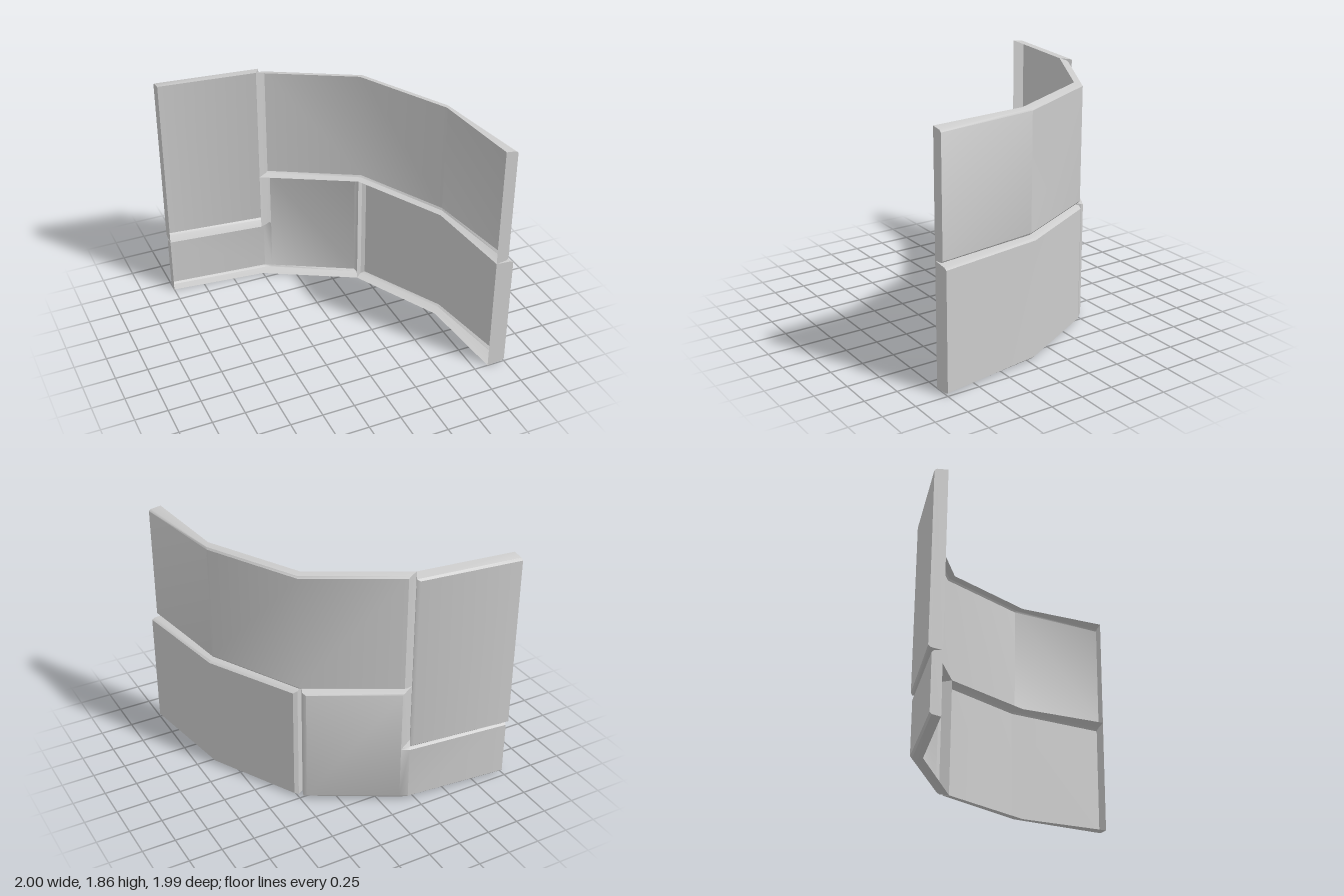
import * as THREE from 'three';
import { toCreasedNormals } from 'three/addons/utils/BufferGeometryUtils.js';

const mat = new THREE.MeshStandardMaterial({ color: 0xcccccc, side: THREE.DoubleSide });

// Heights of the joints between the blocks
const FLOOR = 0, STEP = 0.465, MID = 0.935, TOP = 1.855;

// Corners of the inner line of the wall, as [x, z]
const W0 = [-1, -0.89], W1 = [-0.25, -0.81], W2 = [0.44, -0.43], W3 = [0.8, 0.27], W4 = [0.86, 1];

const mix = (a, b, t) => a.map((v, i) => v + (b[i] - v) * t);

// One hollow block, open on the inside. Each column is
// [inner xz, face xz, bottom y, top y, shoulder xz (only at bevelled ends)].
function block(name, columns) {
  // Rings from the open back, over the shoulder, to the bevelled face
  const ring = (place, inset) => {
    const bottom = columns.map(c => { const [x, z] = place(c); return new THREE.Vector3(x, c[2] + inset, z); });
    const top = columns.map(c => { const [x, z] = place(c); return new THREE.Vector3(x, c[3] - inset, z); });
    return { bottom, top, loop: [...bottom].reverse().concat(top) };
  };
  const rings = [
    ring(c => c[0], 0),
    ring(c => c[4] || mix(c[0], c[1], 0.82), 0.01),
    ring(c => c[1], 0.024),
  ];

  const pos = [];
  const tri = (a, b, c) => {
    if (new THREE.Triangle(a, b, c).getArea() < 1e-8) return;
    for (const p of [a, b, c]) pos.push(p.x, p.y, p.z);
  };
  const quad = (a, b, c, d) => { tri(a, b, c); tri(a, c, d); };

  // Rim walls and bevel
  for (let r = 0; r < 2; r++) {
    const a = rings[r].loop, b = rings[r + 1].loop;
    a.forEach((p, k) => {
      const n = (k + 1) % a.length;
      quad(p, a[n], b[n], b[k]);
    });
  }
  // Outer face
  const { bottom, top } = rings[2];
  for (let i = 0; i < columns.length - 1; i++) quad(bottom[i + 1], bottom[i], top[i], top[i + 1]);

  const geo = new THREE.BufferGeometry();
  geo.setAttribute('position', new THREE.Float32BufferAttribute(pos, 3));
  const mesh = new THREE.Mesh(toCreasedNormals(geo, 0.6), mat);
  mesh.name = name;
  return mesh;
}

export function createModel() {
  const group = new THREE.Group();
  group.name = 'curvedBlockWall';

  group.add(
    // Tall flat panel at one end
    block('tallPanel', [
      [W0, [-1, -0.99], STEP, TOP],
      [W1, [-0.22, -0.907], STEP, TOP, [-0.2, -0.89]],
    ]),
    // Long upper block running round the bend
    block('upperBlock', [
      [W1, [-0.17, -0.84], MID, TOP, [-0.19, -0.835]],
      [W2, [0.485, -0.475], MID, TOP],
      [W3, [0.84, 0.215], MID, TOP],
      [W4, [0.955, 1], MID, TOP],
    ]),
    // Lower block, stepped down beneath the tall panel
    block('steppedLowerBlock', [
      [W0, [-1, -0.965], FLOOR, STEP],
      [W1, [-0.2, -0.89], FLOOR, STEP],
      [W1, [-0.145, -0.86], FLOOR, STEP, [-0.16, -0.858]],
      [W1, [-0.145, -0.86], FLOOR, MID, [-0.16, -0.858]],
      [W2, [0.455, -0.528], FLOOR, MID, [0.47, -0.5]],
    ]),
    // Lower block at the other end
    block('lowerBlock', [
      [W2, [0.522, -0.455], FLOOR, MID, [0.49, -0.465]],
      [W3, [0.87, 0.2], FLOOR, MID],
      [W4, [1, 1], FLOOR, MID],
    ]),
  );
  return group;
}
